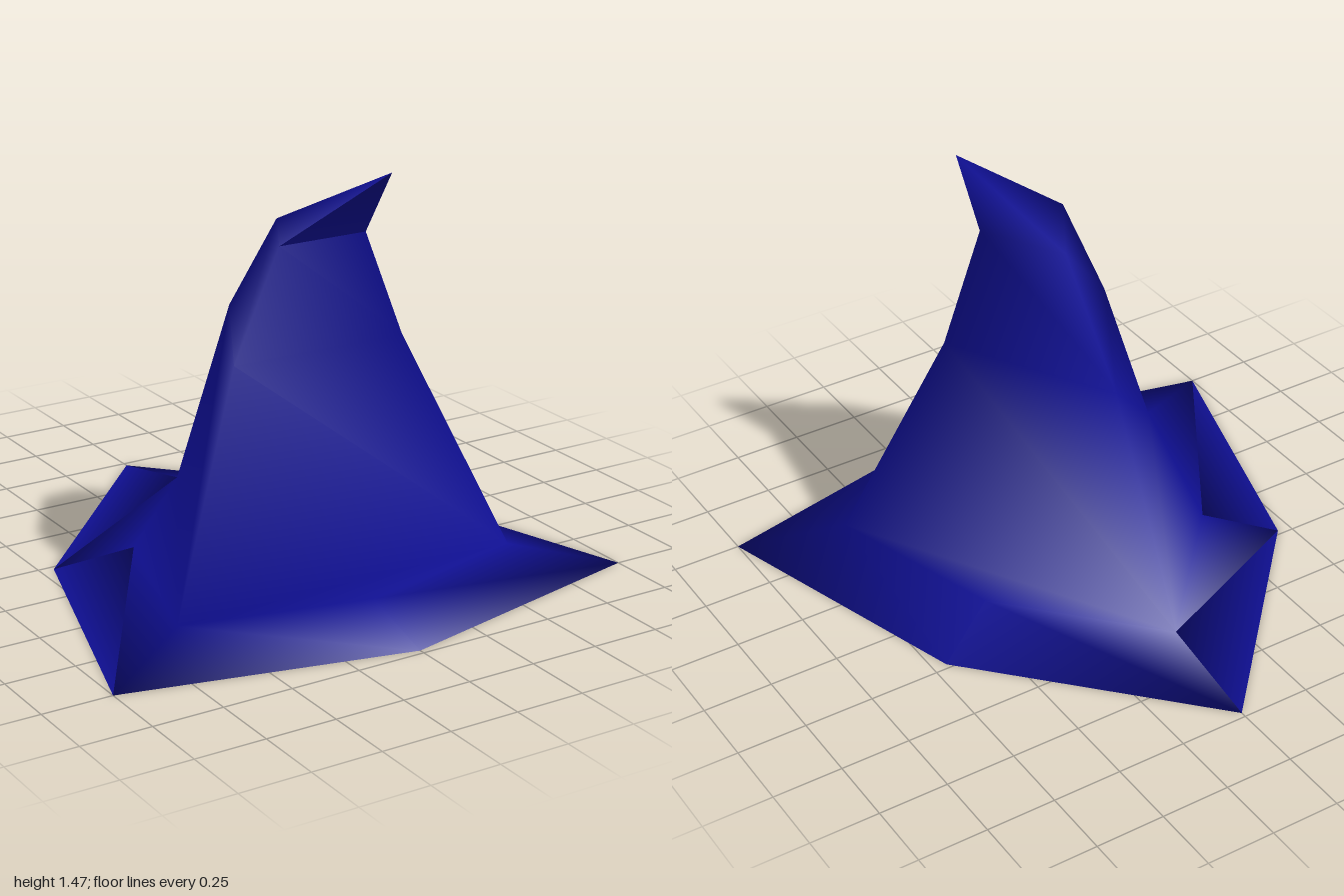
import * as THREE from 'three';

// Bent, three-sided pointed hat on a six-cornered brim, one smooth-shaded skin.
export function createModel() {
  const hatBlue = new THREE.MeshStandardMaterial({ color: 0x0e0e90 });
  hatBlue.name = 'hatBlue';

  const positions = [];
  const indices = [];

  // Adds a ring of [x, z] corners at height y and returns its indices
  const addRing = (y, corners) => corners.map(([x, z]) => {
    positions.push(x, y, z);
    return positions.length / 3 - 1;
  });

  // Joins two rings of equal length with outward-facing triangles
  const joinRings = (low, high) => {
    for (let k = 0; k < low.length; k++) {
      const n = (k + 1) % low.length;
      indices.push(low[n], low[k], high[n], low[k], high[k], high[n]);
    }
  };

  // Brim: outer edge on the ground, inner edge slightly raised
  const outer = addRing(0, [[0, -0.98], [0.7, -0.23], [1, 0.75], [0, 0.98], [-1, 0.75], [-0.7, -0.23]]);
  const inner = addRing(0.08, [[0, -0.59], [0.46, -0.09], [0.66, 0.56], [0, 0.71], [-0.66, 0.56], [-0.46, -0.09]]);
  joinRings(outer, inner);

  // Flat underside
  for (let k = 3; k < 7; k++) {
    indices.push(outer[2], outer[k % 6], outer[(k + 1) % 6]);
  }

  // Small flat ledges between the brim and the three crown walls
  for (let k = 0; k < 6; k += 2) {
    indices.push(inner[(k + 2) % 6], inner[k + 1], inner[k]);
  }

  // Crown: triangular rings that lean forward as they narrow
  const base = [inner[0], inner[2], inner[4]];
  const middle = addRing(0.85, [[0, -0.21], [0.33, 0.37], [-0.33, 0.37]]);
  const upper = addRing(1.235, [[0, 0.1], [0.165, 0.39], [-0.17, 0.39]]);
  joinRings(base, middle);
  joinRings(middle, upper);

  // Crooked tip
  const [tip] = addRing(1.465, [[0.17, 0.53]]);
  for (let k = 0; k < 3; k++) {
    indices.push(upper[(k + 1) % 3], upper[k], tip);
  }

  const geometry = new THREE.BufferGeometry();
  geometry.setAttribute('position', new THREE.Float32BufferAttribute(positions, 3));
  geometry.setIndex(indices);
  geometry.computeVertexNormals();

  const hat = new THREE.Mesh(geometry, hatBlue);
  hat.name = 'pointedHat';

  const group = new THREE.Group();
  group.name = 'hat';
  group.add(hat);
  return group;
}
